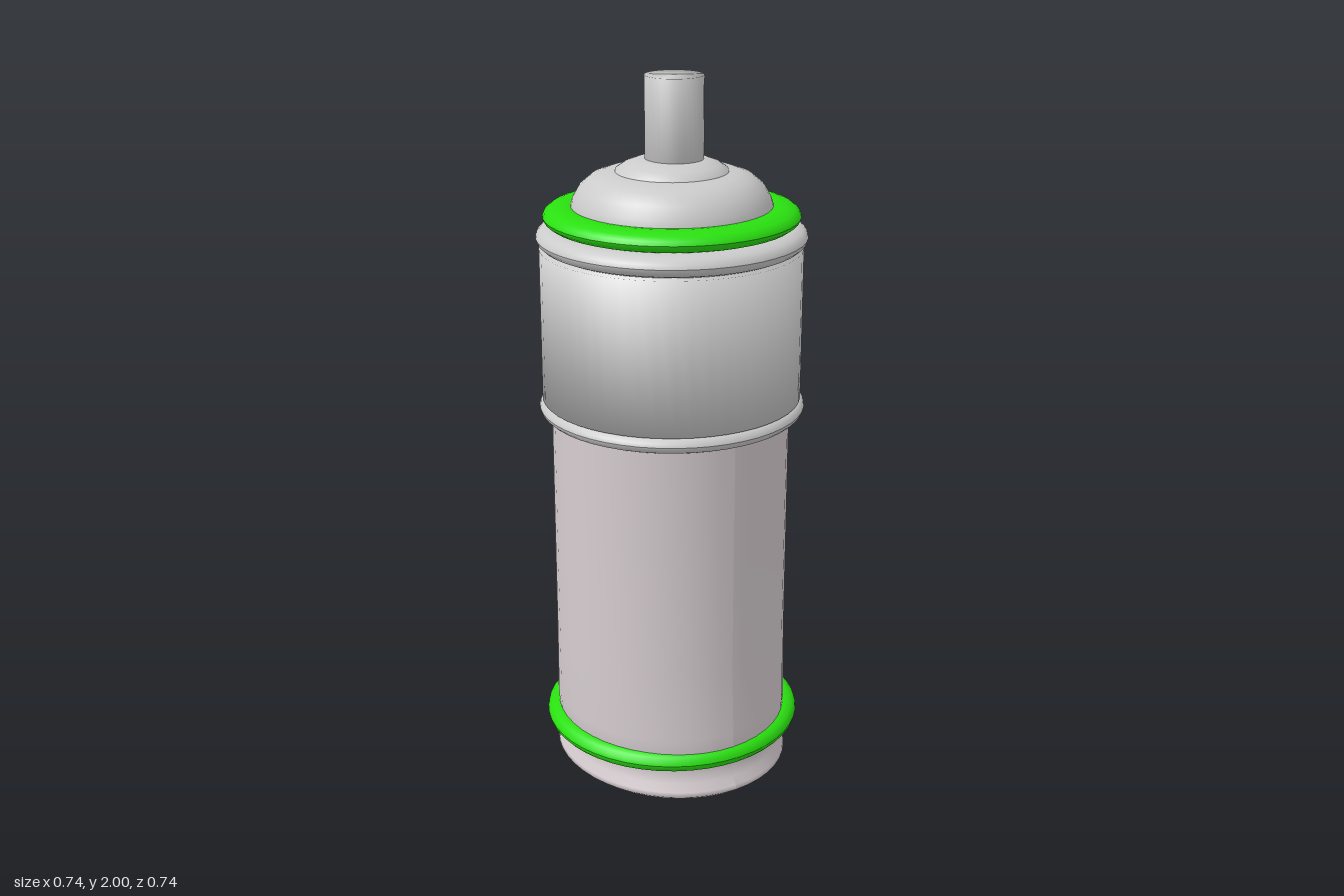
import * as THREE from 'three';

const grey = new THREE.MeshStandardMaterial({ color: 0xcccccc });
const pale = new THREE.MeshStandardMaterial({ color: 0xd6cdd0 });
const green = new THREE.MeshStandardMaterial({ color: 0x2ae010 });

export function createModel() {
  const model = new THREE.Group();

  function add(name, geometry, material, x = 0, y = 0, z = 0) {
    const mesh = new THREE.Mesh(geometry, material);
    mesh.name = name;
    mesh.position.set(x, y, z);
    model.add(mesh);
    return mesh;
  }

  // Turned part from [radius, height] pairs, bottom to top
  const turned = (profile, segments = 48) =>
    new THREE.LatheGeometry(profile.map(([r, y]) => new THREE.Vector2(r, y)), segments);

  // Ring with an oval section: outer radius, radial and vertical half thickness
  function ring(name, material, y, outer, radial, vertical) {
    const points = [];
    for (let i = 0; i <= 16; i++) {
      const a = (i / 16) * Math.PI * 2;
      points.push([outer - radial + radial * Math.cos(a), vertical * Math.sin(a)]);
    }
    return add(name, turned(points), material, 0, y, 0);
  }

  // Can body with a pinched, flared foot that is slightly deeper than wide
  const body = turned([
    [0.295, 0.012], [0.318, 0.017], [0.329, 0.027], [0.328, 0.04], [0.317, 0.062],
    [0.312, 0.09], [0.316, 0.115], [0.327, 0.15], [0.331, 0.2], [0.332, 0.4],
    [0.332, 0.8], [0.332, 1.1],
  ]);
  const p = body.attributes.position;
  for (let i = 0; i < p.count; i++) {
    const deepen = 0.11 * Math.max(0, 1 - p.getY(i) / 0.3);
    p.setZ(i, p.getZ(i) * (1 + deepen));
  }
  body.computeVertexNormals();
  add('canBody', body, pale, -0.008, 0, 0.005);

  // Flat base
  add('base', new THREE.CylinderGeometry(0.31, 0.295, 0.016, 48), grey, -0.005, 0.008, 0.005)
    .scale.z = 1.1;

  // Wide collar, softly shaded across its closed ends
  add('collar', turned([[0, 1.115], [0.36, 1.115], [0.36, 1.54], [0, 1.54]]), grey, -0.004, 0, 0.003);

  // Rings
  ring('lowerGreenRing', green, 0.132, 0.37, 0.04, 0.03);
  ring('collarLowerRing', grey, 1.09, 0.37, 0.04, 0.026);
  ring('collarUpperRing', grey, 1.57, 0.37, 0.05, 0.031);
  ring('upperGreenRing', green, 1.626, 0.35, 0.06, 0.029);

  // Shoulder dome and valve cup
  add('shoulder', turned([
    [0.28, 1.56], [0.277, 1.64], [0.269, 1.672], [0.25, 1.705], [0.22, 1.73],
    [0.185, 1.742], [0.14, 1.747], [0, 1.75],
  ]), grey);
  add('valveCup', turned([
    [0.156, 1.738], [0.152, 1.75], [0.13, 1.765], [0.1, 1.776], [0.07, 1.78], [0, 1.781],
  ]), grey);

  // Nozzle stem, softly shaded across its closed ends
  add('nozzle', turned([[0, 1.76], [0.08, 1.76], [0.08, 2], [0, 2]], 32), grey, 0.006, 0, 0.002);

  return model;
}
